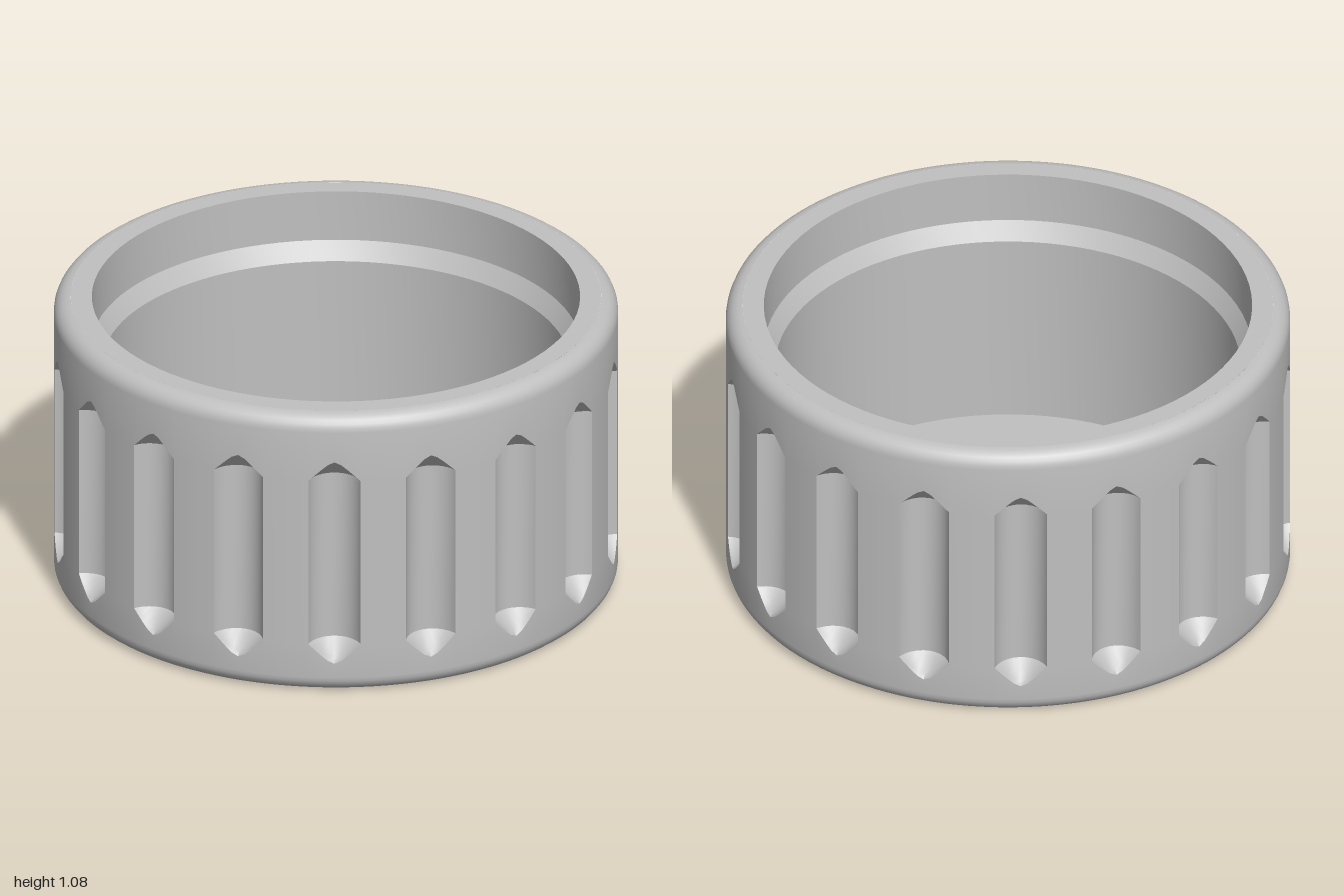
import * as THREE from 'three';
import { toCreasedNormals } from 'three/addons/utils/BufferGeometryUtils.js';

const HEIGHT = 1.08, FILLET = 0.06;
const GROOVES = 18, CUT_RADIUS = 0.095, CUT_OFFSET = 0.02; // cutter axis lies just outside the wall
const HALF_WIDTH = Math.sqrt(CUT_RADIUS ** 2 - CUT_OFFSET ** 2);
const GROOVE_LOW = 0.19, GROOVE_HIGH = 0.83, CONE_STEPS = 6, FILLET_STEPS = 6;

// Radius and height of every row in one vertical column, x being its distance from a groove's middle
function columnProfile(x) {
  const tip = CUT_RADIUS - Math.hypot(x, CUT_OFFSET);
  const rows = [], lower = [], upper = [];
  for (let i = 0; i <= FILLET_STEPS; i++) {
    const a = (i / FILLET_STEPS) * Math.PI / 2;
    const r = 1 - FILLET + FILLET * Math.sin(a), y = FILLET * (1 - Math.cos(a));
    lower.push([r, y]);
    upper.unshift([r, HEIGHT - y]);
  }
  const cone = (t) => {
    const h = tip * t;
    const depth = Math.sqrt(Math.max(0, (CUT_RADIUS - h) ** 2 - x * x)) - CUT_OFFSET;
    return [h, 1 - Math.max(0, depth)];
  };
  rows.push(...lower);
  for (let i = CONE_STEPS; i >= 0; i--) {
    const [h, r] = cone(i / CONE_STEPS);
    rows.push([r, GROOVE_LOW - h]);
  }
  for (let i = 0; i <= CONE_STEPS; i++) {
    const [h, r] = cone(i / CONE_STEPS);
    rows.push([r, GROOVE_HIGH + h]);
  }
  rows.push(...upper);
  return rows;
}

// Outer wall with cone-ended grip grooves and rounded rims
function gripWallGeometry() {
  const columns = [];
  const pitch = (Math.PI * 2) / GROOVES, edge = Math.asin(HALF_WIDTH);
  for (let g = 0; g < GROOVES; g++) {
    const middle = (g + 0.5) * pitch;
    for (let k = -6; k <= 6; k++) {
      const x = HALF_WIDTH * Math.sin((k / 6) * Math.PI / 2);
      columns.push([middle + Math.asin(x), Math.abs(x)]);
    }
    for (let k = 1; k <= 2; k++) {
      columns.push([middle + edge + (k / 3) * (pitch - 2 * edge), HALF_WIDTH]);
    }
  }
  const positions = [], index = [];
  let rowCount = 0;
  for (const [angle, x] of columns) {
    const rows = columnProfile(x);
    rowCount = rows.length;
    for (const [r, y] of rows) positions.push(r * Math.sin(angle), y, r * Math.cos(angle));
  }
  columns.forEach((_, i) => {
    const here = i * rowCount, next = ((i + 1) % columns.length) * rowCount;
    for (let j = 0; j < rowCount - 1; j++) {
      index.push(here + j, next + j, next + j + 1, here + j, next + j + 1, here + j + 1);
    }
  });
  const geometry = new THREE.BufferGeometry();
  geometry.setAttribute('position', new THREE.Float32BufferAttribute(positions, 3));
  geometry.setIndex(index);
  return toCreasedNormals(geometry, 0.5);
}

export function createModel() {
  const model = new THREE.Group();
  model.name = 'screwCap';
  const grey = new THREE.MeshStandardMaterial({ color: 0xc0c0c0 });
  grey.name = 'grey plastic';
  const add = (name, geometry) => {
    const mesh = new THREE.Mesh(geometry, grey);
    mesh.name = name;
    model.add(mesh);
    return mesh;
  };

  add('gripWall', gripWallGeometry());

  // Flat rim, wide mouth, chamfer, narrower bore and floor with a raised disc
  const bore = [
    [1 - FILLET, HEIGHT], [0.865, HEIGHT], [0.865, 0.89], [0.825, 0.825],
    [0.825, 0.1], [0.72, 0.1], [0.72, 0.12], [0, 0.12],
  ].map(([r, y]) => new THREE.Vector2(r, y));
  add('rimAndBore', toCreasedNormals(new THREE.LatheGeometry(bore, 96), 0.4));

  // Underside with a straight slot pressed into it
  const disc = new THREE.Shape().absarc(0, 0, 1 - FILLET, 0, Math.PI * 2, false);
  const [x0, x1, z0, z1] = [-0.26, -0.12, -0.3, 0.28];
  disc.holes.push(new THREE.Path([
    new THREE.Vector2(x0, z0), new THREE.Vector2(x0, z1),
    new THREE.Vector2(x1, z1), new THREE.Vector2(x1, z0),
  ]));
  const base = new THREE.ExtrudeGeometry(disc, { depth: 0.04, bevelEnabled: false, curveSegments: 96 });
  base.rotateX(Math.PI / 2).translate(0, 0.04, 0);
  add('underside', base);
  const slotTop = add('slotTop', new THREE.BoxGeometry(x1 - x0 + 0.04, 0.02, z1 - z0 + 0.04));
  slotTop.position.set((x0 + x1) / 2, 0.05, (z0 + z1) / 2);

  return model;
}
